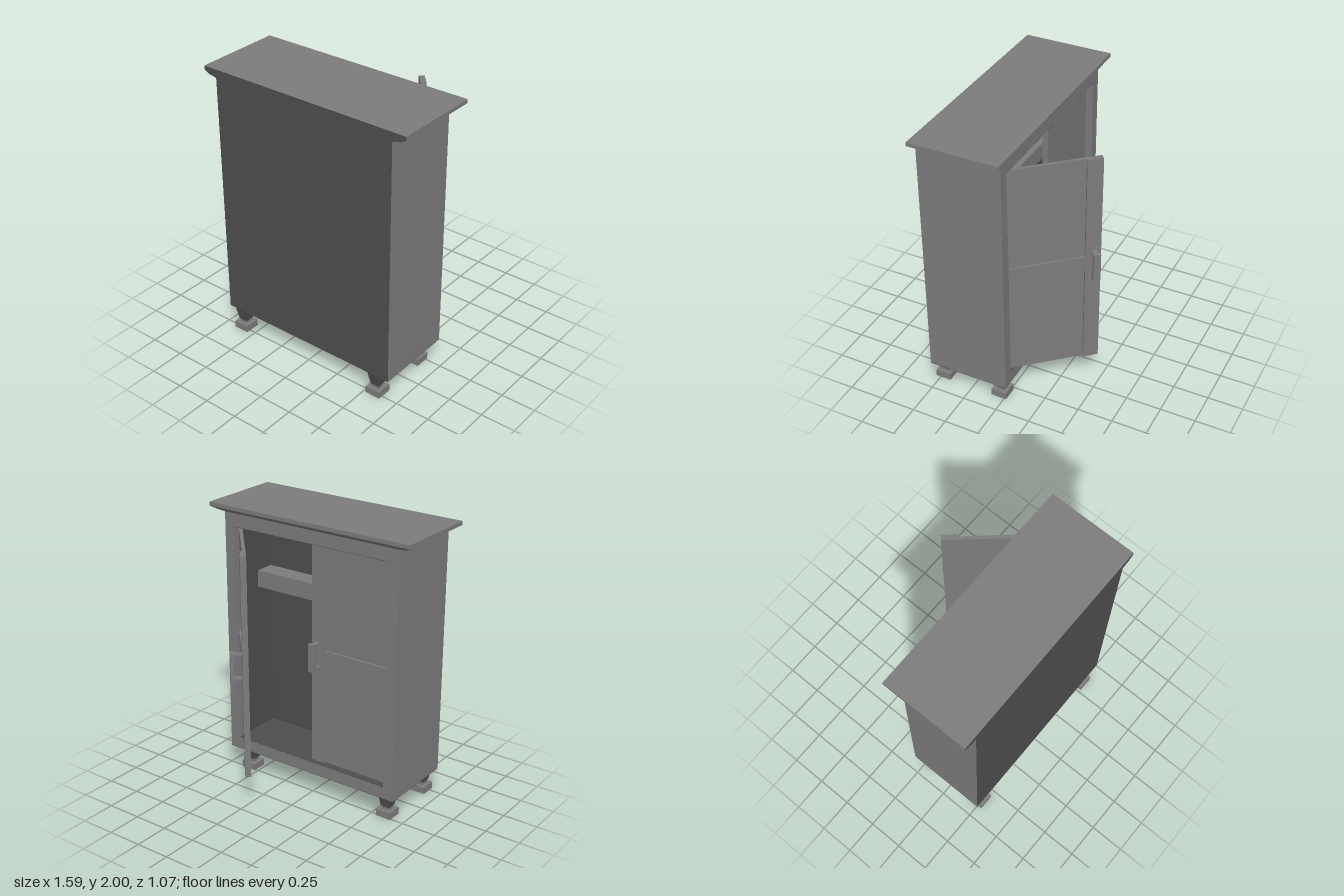
import * as THREE from 'three';

const main = new THREE.MeshStandardMaterial({ color: 0x7c7c7c });
main.name = 'main grey';
const dark = new THREE.MeshStandardMaterial({ color: 0x4e4e4e });
dark.name = 'dark grey';

// Box given by its minimum and maximum corners
function box(parent, name, mat, x0, x1, y0, y1, z0, z1) {
  const m = new THREE.Mesh(new THREE.BoxGeometry(x1 - x0, y1 - y0, z1 - z0), mat);
  m.position.set((x0 + x1) / 2, (y0 + y1) / 2, (z0 + z1) / 2);
  m.name = name;
  parent.add(m);
  return m;
}

const W = 0.698;               // body half width
const OW = 0.622;              // opening half width
const Y0 = 0.175, Y1 = 1.945;  // body bottom and top
const O0 = 0.262, O1 = 1.845;  // opening bottom and top
const ZB = -0.053, ZF = 0.53;  // door side and plain side
const ZI = 0.33;               // inner face of the rear panel

// Cornice sections: height, half width, overhang on the door side
const cornice = [[1.94, W, ZB], [1.952, 0.76, -0.068], [1.973, 0.797, -0.097], [2, 0.797, -0.097]];

function makeCornice() {
  const pos = [];
  const ring = ([y, x, z]) => [[-x, y, z], [-x, y, ZF - 0.006], [x, y, ZF - 0.006], [x, y, z]];
  const quad = (a, b, c, d) => pos.push(...a, ...b, ...c, ...a, ...c, ...d);
  const rings = cornice.map(ring);
  for (let i = 0; i < rings.length - 1; i++) {
    for (let k = 0; k < 4; k++) {
      const n = (k + 1) % 4;
      quad(rings[i][k], rings[i][n], rings[i + 1][n], rings[i + 1][k]);
    }
  }
  quad(...rings[rings.length - 1]);
  quad(...rings[0].slice().reverse());
  const g = new THREE.BufferGeometry();
  g.setAttribute('position', new THREE.Float32BufferAttribute(pos, 3));
  g.computeVertexNormals();
  const m = new THREE.Mesh(g, main);
  m.name = 'cornice';
  return m;
}

// Door with its hinge at the origin, outer face at z = 0; s is the opening direction along x
function makeDoor(name, s) {
  const door = new THREE.Group();
  door.name = name;
  const w = 0.615, stile = 0.105;
  const part = (n, a, b, y0, y1, z0, z1) =>
    box(door, n, main, Math.min(s * a, s * b), Math.max(s * a, s * b), y0, y1, z0, z1);
  part('doorPanel', 0, w - stile, O0 + 0.004, O1 - 0.004, 0.016, 0.04);
  part('doorStile', w - stile, w, O0 + 0.004, O1 - 0.004, 0, 0.04);
  part('doorRail', 0, w - stile, 1.04, 1.11, 0, 0.016);
  part('handleBar', w - 0.073, w - 0.024, 0.967, 1.168, -0.078, -0.055);
  for (const y of [0.975, 1.145]) part('handlePost', w - 0.066, w - 0.031, y, y + 0.015, -0.055, 0);
  return door;
}

// Square tapered leg with neck and foot block
function makeLeg(x, z) {
  const leg = new THREE.Group();
  leg.name = 'leg';
  let g = new THREE.CylinderGeometry(0.05 * Math.SQRT2, 0.033 * Math.SQRT2, 0.1, 4, 1).toNonIndexed();
  g.rotateY(Math.PI / 4);
  g.computeVertexNormals();
  const taper = new THREE.Mesh(g, dark);
  taper.name = 'legTaper';
  taper.position.y = 0.125;
  leg.add(taper);
  box(leg, 'legNeck', main, -0.028, 0.028, 0.05, 0.075, -0.028, 0.028);
  box(leg, 'foot', main, -0.056, 0.056, 0.002, 0.052, -0.056, 0.056);
  box(leg, 'footPad', dark, -0.03, 0.03, 0, 0.004, -0.03, 0.03);
  leg.position.set(x, 0, z);
  return leg;
}

export function createModel() {
  const model = new THREE.Group();
  model.name = 'cabinet';

  // Carcass around the opening
  const zf = ZF - 0.006;
  for (const s of [-1, 1]) {
    box(model, 'sideWall', main, s < 0 ? -W : OW, s < 0 ? -OW : W, Y0, Y1, ZB, zf);
    const x = s * (OW - 0.002);
    box(model, 'sideLining', dark, x - 0.002, x + 0.002, O0, O1, 0.022, ZI);
  }
  box(model, 'baseBoard', main, -OW, OW, Y0, O0 - 0.003, ZB, zf);
  box(model, 'headBoard', main, -OW, OW, O1 + 0.003, Y1, ZB, zf);
  box(model, 'floorLining', dark, -OW, OW, O0 - 0.003, O0, ZB + 0.001, ZI);
  box(model, 'ceilingLining', dark, -OW, OW, O1, O1 + 0.003, ZB + 0.001, ZI);
  box(model, 'rearPanel', dark, -OW, OW, O0, O1, ZI, zf);
  box(model, 'underside', dark, -W, W, Y0 - 0.003, Y0, ZB, zf);
  box(model, 'shelf', main, -OW, OW, 1.35, 1.47, 0.185, ZI);

  // Plain outer panel following the cornice outline
  const right = cornice.map(([y, x]) => new THREE.Vector2(x, y));
  const left = right.map((p) => new THREE.Vector2(-p.x, p.y)).reverse();
  const outline = new THREE.Shape([
    new THREE.Vector2(-W, Y0 - 0.003), new THREE.Vector2(W, Y0 - 0.003), ...right, ...left,
  ]);
  const plate = new THREE.Mesh(
    new THREE.ExtrudeGeometry(outline, { depth: 0.006, bevelEnabled: false }), [dark, main]);
  plate.position.z = zf;
  plate.name = 'outerPanel';
  model.add(plate, makeCornice());

  // One closed door and one standing open
  const closed = makeDoor('closedDoor', 1);
  closed.position.set(-OW + 0.002, 0, -0.02);
  const open = makeDoor('openDoor', -1);
  open.position.set(0.609, 0, -0.043);
  open.rotation.y = -0.843;
  model.add(closed, open);

  for (const x of [-0.602, 0.576]) for (const z of [0.04, 0.478]) model.add(makeLeg(x, z));
  return model;
}
